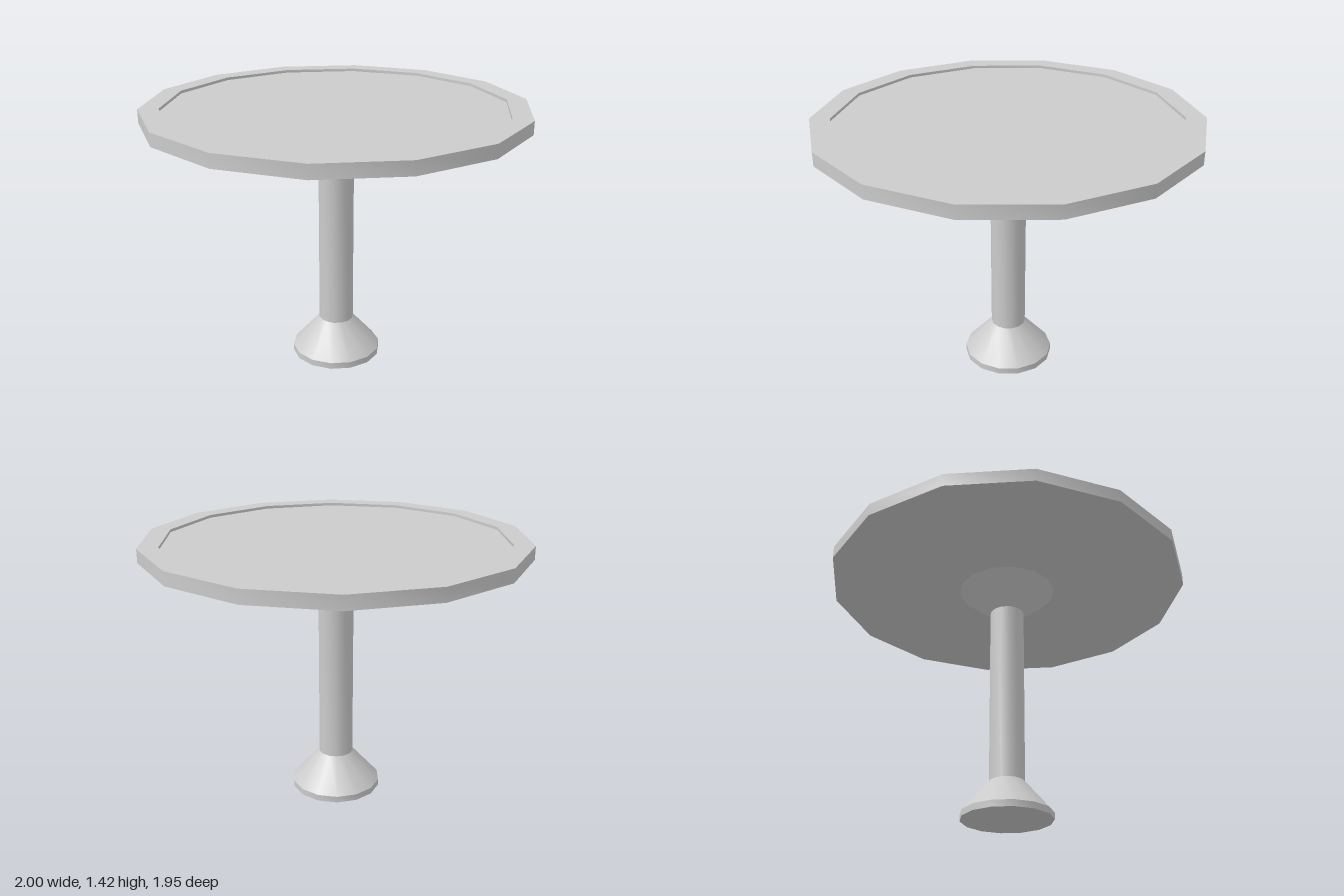
import * as THREE from 'three';
import { toCreasedNormals } from 'three/addons/utils/BufferGeometryUtils.js';

const SIDES = 14;

// Turned part from a [radius, height] profile, with a corner on the x axis
function turned(name, profile, material) {
  const points = profile.map(([r, y]) => new THREE.Vector2(r, y));
  const lathe = new THREE.LatheGeometry(points, SIDES, Math.PI / 2);
  const mesh = new THREE.Mesh(toCreasedNormals(lathe, 0.6), material);
  mesh.name = name;
  return mesh;
}

export function createModel() {
  const group = new THREE.Group();
  group.name = 'pedestalTable';
  const material = new THREE.MeshStandardMaterial({ color: 0xcccccc });

  // Flared foot, straight column and flared support
  group.add(turned('pedestal', [
    [0, 0], [0.243, 0], [0.243, 0.035], [0.094, 0.205],
    [0.094, 1.205], [0.27, 1.35],
  ], material));

  // Top with a raised rim around a shallow recess
  group.add(turned('tableTop', [
    [0, 1.35], [1, 1.35], [1, 1.42], [0.895, 1.42], [0.895, 1.405], [0, 1.405],
  ], material));

  return group;
}
